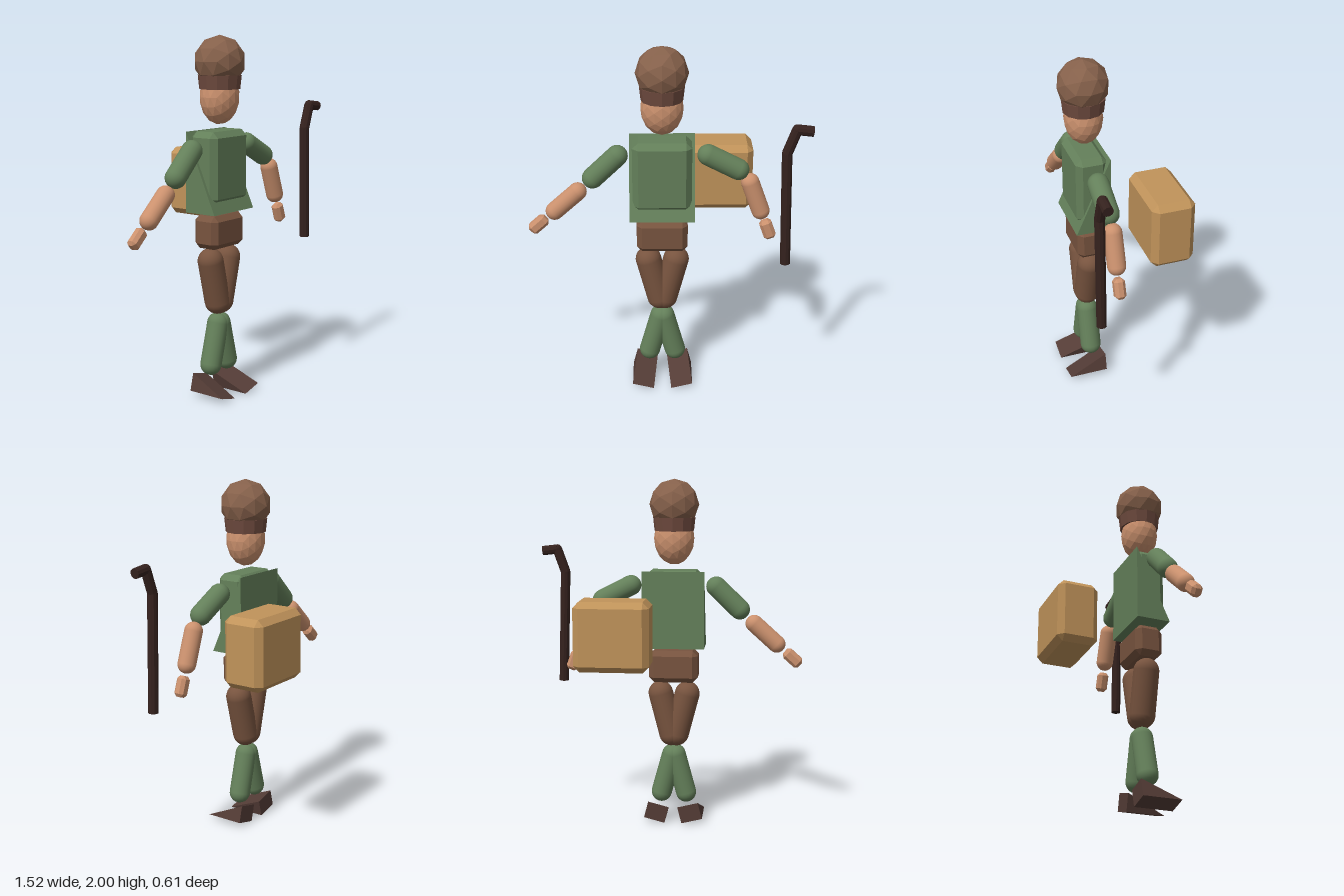
import * as THREE from 'three';
import { ConvexGeometry } from 'three/addons/geometries/ConvexGeometry.js';

const MID = -0.027; // body centre line
const DEPTH = 0.147; // body depth

const COLORS = {
  green: 0x64805a, skin: 0xcb916e, hat: 0x86614b, band: 0x6e4a3e, trousers: 0x78543f,
  shoe: 0x543c36, stick: 0x35221e, bag: 0xc0935a,
};

function createMaterials() {
  const make = (flatShading) => Object.fromEntries(Object.entries(COLORS).map(([key, color]) =>
    [key, new THREE.MeshStandardMaterial({ color, flatShading })]));
  return { smooth: make(false), flat: make(true) };
}

// Box with every edge and corner cut at 45 degrees
function chamferBox(w, h, d, c) {
  const points = [];
  for (const sx of [-1, 1]) for (const sy of [-1, 1]) for (const sz of [-1, 1]) {
    const x = w / 2, y = h / 2, z = d / 2;
    for (const [a, b, e] of [[0, c, c], [c, 0, c], [c, c, 0]]) {
      points.push(new THREE.Vector3(sx * (x - a), sy * (y - b), sz * (z - e)));
    }
  }
  return new ConvexGeometry(points);
}

// Right-angled wedge: upright at the back, sloping down towards +z
function wedge(w, h, d) {
  const shape = new THREE.Shape();
  shape.moveTo(-d / 2, -h / 2);
  shape.lineTo(d / 2, -h / 2);
  shape.lineTo(-d / 2, h / 2);
  shape.closePath();
  const geometry = new THREE.ExtrudeGeometry(shape, { depth: w, bevelEnabled: false });
  return geometry.translate(0, 0, -w / 2).rotateY(-Math.PI / 2);
}

export function createModel() {
  const model = new THREE.Group();
  model.name = 'traveller';
  const { smooth, flat } = createMaterials();
  const up = new THREE.Vector3(0, 1, 0);

  function add(name, geometry, material, x, y, z = DEPTH, tilt = 0) {
    const mesh = new THREE.Mesh(geometry, material);
    mesh.name = name;
    mesh.position.set(x, y, z);
    mesh.rotation.z = tilt;
    model.add(mesh);
    return mesh;
  }

  // Capsule between the centres of its two round ends
  function limb(name, a, b, radius, material) {
    const start = new THREE.Vector3(a[0], a[1], DEPTH);
    const end = new THREE.Vector3(b[0], b[1], DEPTH);
    const axis = end.clone().sub(start);
    const mid = start.add(end).multiplyScalar(0.5);
    const mesh = add(name, new THREE.CapsuleGeometry(radius, axis.length(), 8, 20), material, mid.x, mid.y);
    mesh.quaternion.setFromUnitVectors(up, axis.normalize());
  }

  // Head and cap
  add('head', new THREE.IcosahedronGeometry(1, 2).scale(0.115, 0.15, 0.105), flat.skin, MID, 1.67);
  add('hatBand', new THREE.CylinderGeometry(0.12, 0.112, 0.075, 12), flat.band, MID, 1.75);
  add('hat', new THREE.IcosahedronGeometry(0.141, 1), flat.hat, MID, 1.86);

  // Torso, coat and hips
  add('torso', chamferBox(0.32, 0.395, 0.175, 0.032), flat.green, MID, 1.292);
  add('coat', wedge(0.355, 0.44, 0.195), flat.green, MID, 1.268, 0.152);
  add('hips', chamferBox(0.28, 0.185, 0.16, 0.03), flat.trousers, MID, 0.938);

  // Legs and shoes, mirrored about the centre line
  for (const [label, s] of [['left', 1], ['right', -1]]) {
    limb(label + 'Thigh', [MID + s * 0.077, 0.772], [MID + s * 0.015, 0.532], 0.072, smooth.trousers);
    limb(label + 'Shin', [MID + s * 0.01, 0.405], [MID + s * 0.072, 0.178], 0.06, smooth.green);
    add(label + 'Shoe', wedge(0.124, 0.1, 0.222), flat.shoe, MID + s * 0.098, 0.067, 0.189, s * 0.25);
  }

  // Arms: shoulder, elbow, wrist and hand differ on each side
  const arms = [
    { label: 'left', upper: [[0.22, 1.4], [0.385, 1.315]], fore: [[0.45, 1.24], [0.512, 1.07]],
      hand: [0.555, 0.957], tilt: 0.35 },
    { label: 'right', upper: [[-0.268, 1.397], [-0.402, 1.268]], fore: [[-0.486, 1.188], [-0.615, 1.072]],
      hand: [-0.707, 0.992], tilt: -0.84 },
  ];
  for (const { label, upper, fore, hand, tilt } of arms) {
    limb(label + 'UpperArm', ...upper, 0.058, smooth.green);
    limb(label + 'Forearm', ...fore, 0.05, smooth.skin);
    add(label + 'Hand', chamferBox(0.068, 0.115, 0.06, 0.017), flat.skin, ...hand, DEPTH, tilt);
  }

  // Bag behind the figure
  add('bag', chamferBox(0.415, 0.386, 0.242, 0.034), flat.bag, 0.278, 1.163, -0.186);

  // Walking stick with a bent handle
  const path = [[0.645, 0.81], [0.625, 1.46], [0.672, 1.592], [0.757, 1.582]]
    .map(([x, y]) => new THREE.Vector3(x, y, 0.275));
  const radius = 0.028;
  for (let i = 0; i < path.length - 1; i++) {
    const axis = path[i + 1].clone().sub(path[i]);
    const mid = path[i].clone().add(path[i + 1]).multiplyScalar(0.5);
    const part = add('stickSection', new THREE.CylinderGeometry(radius, radius, axis.length(), 10),
      flat.stick, mid.x, mid.y, mid.z);
    part.quaternion.setFromUnitVectors(up, axis.normalize());
    if (i > 0) add('stickJoint', new THREE.SphereGeometry(radius, 10, 8), smooth.stick, path[i].x, path[i].y, 0.275);
  }

  return model;
}
